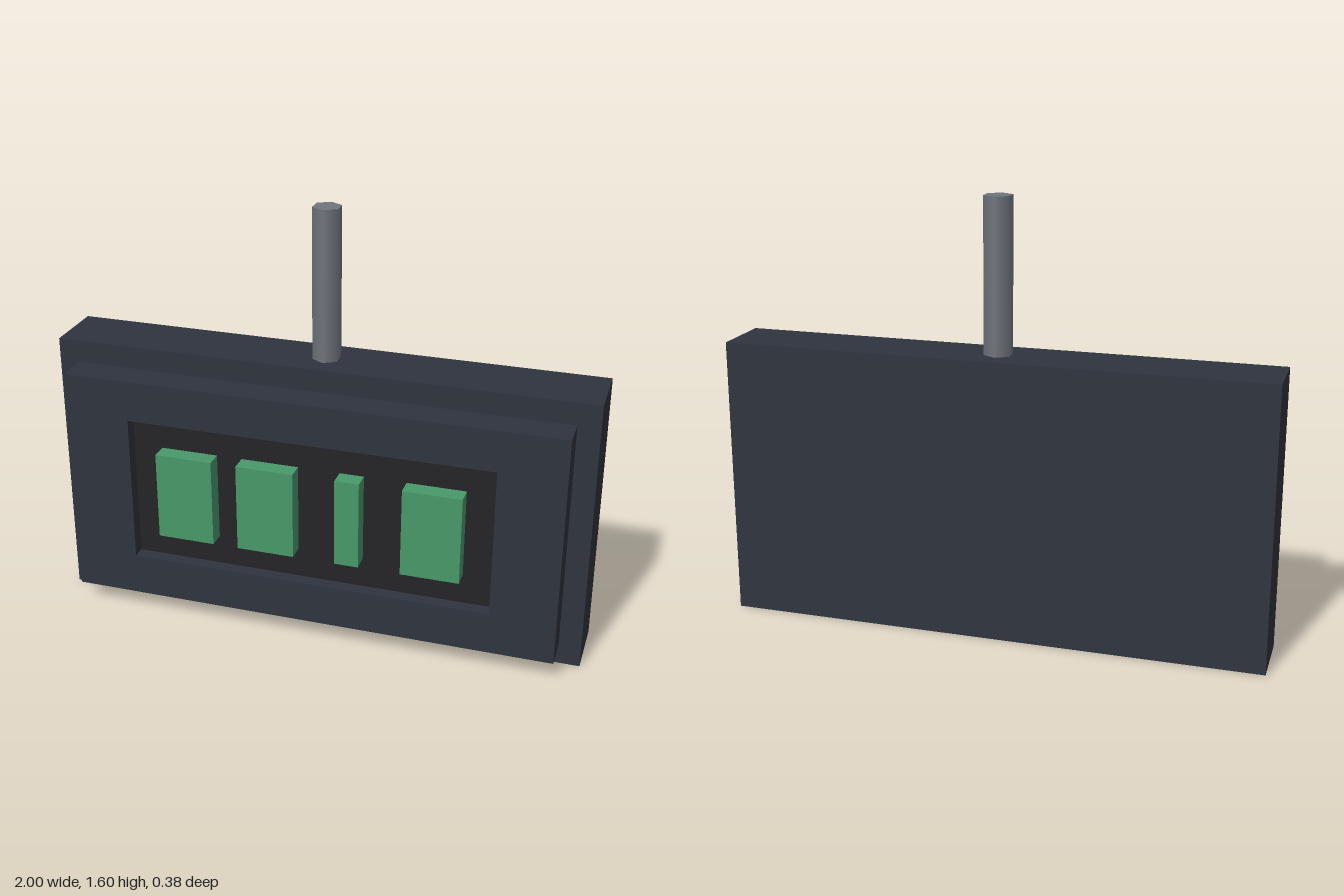
import * as THREE from 'three';

const material = (color) => new THREE.MeshStandardMaterial({ color });

export function createModel() {
  const group = new THREE.Group();
  const dark = material(0x2f343e);
  const black = material(0x242428);
  const green = material(0x48996a);
  const steel = material(0x70767d);

  function add(name, geometry, mat, x = 0, y = 0, z = 0) {
    const mesh = new THREE.Mesh(geometry, mat);
    mesh.name = name;
    mesh.position.set(x, y, z);
    group.add(mesh);
  }

  // Box given by its minimum and maximum on each axis
  function addBox(name, mat, [x0, x1], [y0, y1], [z0, z1]) {
    add(name, new THREE.BoxGeometry(x1 - x0, y1 - y0, z1 - z0), mat,
      (x0 + x1) / 2, (y0 + y1) / 2, (z0 + z1) / 2);
  }

  function trace(path, x, y0, y1) {
    path.moveTo(-x, y0);
    path.lineTo(x, y0);
    path.lineTo(x, y1);
    path.lineTo(-x, y1);
    path.closePath();
    return path;
  }

  // Main housing
  addBox('housing', dark, [-1, 1], [0, 1.04], [-0.19, 0.05]);

  // Front frame around a recessed display, with a narrow gap to the housing
  const frame = trace(new THREE.Shape(), 0.92, 0.08, 0.96);
  frame.holes.push(trace(new THREE.Path(), 0.68, 0.24, 0.805));
  add('frontFrame', new THREE.ExtrudeGeometry(frame, { depth: 0.12, bevelEnabled: false }),
    dark, 0, 0, 0.06);
  addBox('displayPanel', black, [-0.68, 0.68], [0.24, 0.805], [0.06, 0.13]);

  // Raised display blocks
  [[-0.57, -0.355], [-0.26, -0.045], [0.11, 0.2], [0.355, 0.57]].forEach((span, i) => {
    addBox(`displayBlock${i + 1}`, green, span, [0.355, 0.69], [0.13, 0.195]);
  });

  // Six-sided hanging rod
  add('hangingRod', new THREE.CylinderGeometry(0.053, 0.053, 0.56, 6), steel, 0, 1.32, -0.07);

  return group;
}
